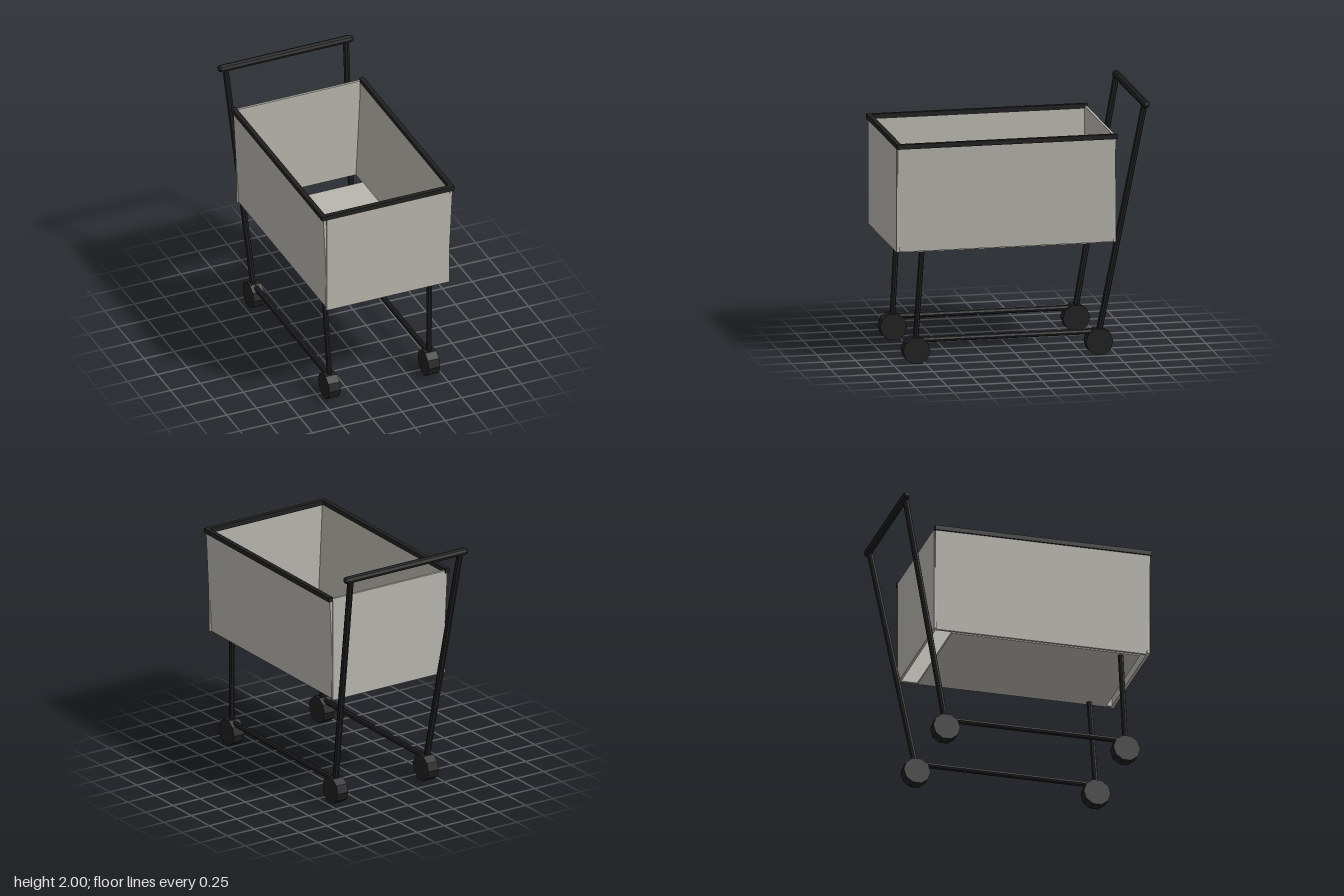
import * as THREE from 'three';

export function createModel() {
  const model = new THREE.Group();
  model.name = 'cart';
  const panelGrey = new THREE.MeshStandardMaterial({ color: 0xb8b6ae, flatShading: true });
  panelGrey.name = 'panel grey';
  const frameBlack = new THREE.MeshStandardMaterial({ color: 0x202020, flatShading: true });
  frameBlack.name = 'frame black';

  const add = (name, geometry, material) => {
    const mesh = new THREE.Mesh(geometry, material);
    mesh.name = name;
    model.add(mesh);
    return mesh;
  };

  // Box given by its minimum and maximum corners
  const box = (name, a, b, material) => {
    const g = new THREE.BoxGeometry(b[0] - a[0], b[1] - a[1], b[2] - a[2]);
    g.translate((a[0] + b[0]) / 2, (a[1] + b[1]) / 2, (a[2] + b[2]) / 2);
    return add(name, g, material);
  };

  // Round bar between two points
  const bar = (name, a, b, radius, sides = 8) => {
    const p = new THREE.Vector3(...a), q = new THREE.Vector3(...b);
    const mesh = add(name, new THREE.CylinderGeometry(radius, radius, p.distanceTo(q), sides), frameBlack);
    mesh.position.copy(p).add(q).multiplyScalar(0.5);
    mesh.quaternion.setFromUnitVectors(new THREE.Vector3(0, 1, 0), q.sub(p).normalize());
    return mesh;
  };

  // Basket: floor stops short of the end panels
  box('basketFloor', [-0.485, 0.885, -0.585], [0.485, 0.905, 0.915], panelGrey);
  box('frontPanel', [-0.515, 0.895, 0.962], [0.515, 1.73, 0.985], panelGrey);
  box('backPanel', [-0.515, 0.895, -0.735], [0.515, 1.735, -0.715], panelGrey);
  box('frontRail', [-0.555, 1.713, 0.953], [0.555, 1.75, 0.99], frameBlack);

  for (const s of [-1, 1]) {
    const side = s > 0 ? 'left' : 'right';

    // Side wall leaning outward towards the top
    const wall = new THREE.BoxGeometry(0.022, 0.835, 1.71);
    const p = wall.attributes.position;
    for (let i = 0; i < p.count; i++) {
      p.setX(i, p.getX(i) + s * (0.511 + (p.getY(i) / 0.835) * 0.04));
    }
    wall.translate(0, 1.3125, 0.125);
    wall.computeVertexNormals();
    add(side + 'SidePanel', wall, panelGrey);

    const rail = box(side + 'Rail', [-0.018, 1.713, -0.738], [0.018, 1.75, 0.99], frameBlack);
    rail.position.x = s * 0.537;

    // Undercarriage
    bar(side + 'FrontLeg', [s * 0.415, 0.16, 0.816], [s * 0.442, 0.907, 0.77], 0.022);
    bar(side + 'HandlePost', [s * 0.418, 0.13, -0.615], [s * 0.505, 1.97, -0.963], 0.025);
    bar(side + 'LowerBar', [s * 0.418, 0.178, -0.62], [s * 0.418, 0.178, 0.815], 0.022);

    for (const [end, z] of [['Front', 0.815], ['Back', -0.62]]) {
      const wheel = add(side + end + 'Wheel', new THREE.CylinderGeometry(0.107, 0.107, 0.095, 10), frameBlack);
      wheel.rotation.z = Math.PI / 2;
      wheel.position.set(s * 0.417, 0.102, z);
    }
  }

  // Push handle with rounded ends
  const handle = add('handle', new THREE.CapsuleGeometry(0.03, 1.08, 2, 8), frameBlack);
  handle.rotation.z = Math.PI / 2;
  handle.position.set(0, 1.97, -0.967);

  return model;
}
